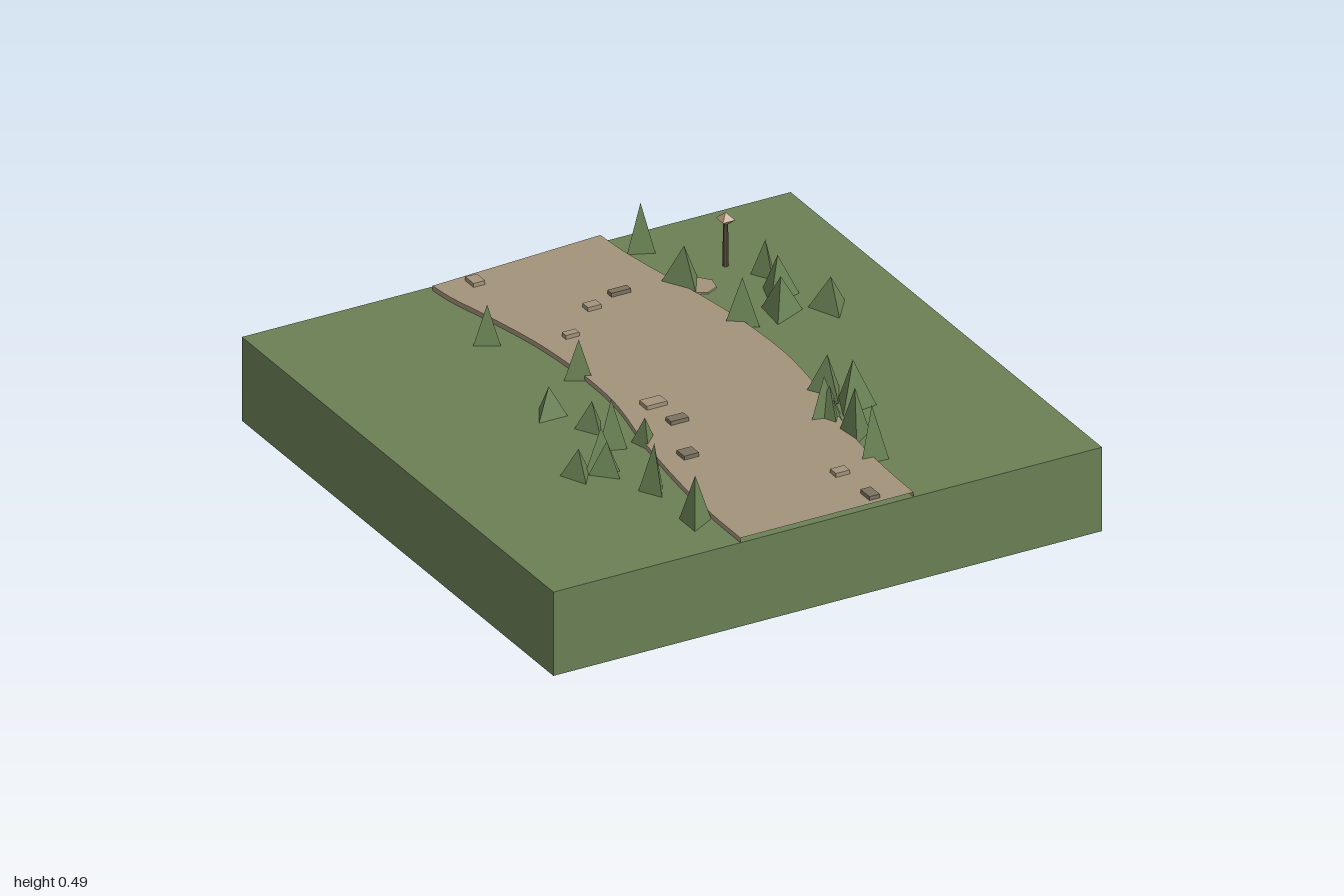
import * as THREE from 'three';

const GROUND = 0.297, ROAD_TOP = 0.314, ROAD_BOTTOM = 0.294;

const material = (name, color, extra = {}) => {
  const m = new THREE.MeshStandardMaterial({ color, flatShading: true, ...extra });
  m.name = name;
  return m;
};

// x, z, radius, top height, turn in degrees
const TREES = [
  [0.387, -0.877, 0.052, 0.465, 36], [-0.338, -0.575, 0.05, 0.43, 30],
  [0.387, -0.6, 0.08, 0.44, 0], [0.648, -0.543, 0.047, 0.42, 0],
  [0.611, -0.4, 0.07, 0.44, 72], [0.558, -0.287, 0.075, 0.43, 84],
  [0.712, -0.24, 0.072, 0.41, 113], [0.426, -0.298, 0.065, 0.455, 28],
  [-0.204, -0.229, 0.053, 0.43, 30], [-0.415, -0.048, 0.06, 0.4, 60],
  [-0.341, 0.096, 0.055, 0.395, 0], [-0.347, 0.229, 0.054, 0.465, 41],
  [-0.246, 0.266, 0.045, 0.39, 105], [-0.537, 0.356, 0.058, 0.395, 115],
  [-0.447, 0.34, 0.064, 0.44, 39], [-0.447, 0.378, 0.06, 0.41, 15],
  [-0.378, 0.558, 0.05, 0.465, 0], [-0.373, 0.809, 0.058, 0.465, 90],
  [0.415, 0.261, 0.072, 0.44, 0], [0.447, 0.367, 0.075, 0.462, 67],
  [0.325, 0.399, 0.06, 0.45, 45], [0.336, 0.415, 0.058, 0.42, 115],
  [0.352, 0.548, 0.057, 0.47, 96], [0.325, 0.702, 0.055, 0.485, 54],
];

// x, z, width, depth, weathered
const STONES = [
  [-0.188, -0.915, 0.042, 0.053, 0], [0.17, -0.63, 0.07, 0.027, 1],
  [0.047, -0.587, 0.048, 0.037, 0], [-0.106, -0.453, 0.048, 0.027, 0],
  [-0.108, 0.077, 0.074, 0.048, 0], [-0.098, 0.21, 0.064, 0.037, 1],
  [-0.183, 0.428, 0.053, 0.048, 1], [0.172, 0.77, 0.05, 0.037, 0],
  [0.18, 0.947, 0.037, 0.058, 1],
];

// Road banks as [x, z] points from back to front
const LEFT_BANK = [[-0.315, -0.962], [-0.305, -0.87], [-0.27, -0.72], [-0.222, -0.48],
  [-0.204, -0.3], [-0.2, -0.12], [-0.21, 0.03], [-0.258, 0.28], [-0.297, 0.58], [-0.313, 0.8], [-0.315, 0.995]];
const RIGHT_BANK = [[0.312, -1], [0.322, -0.87], [0.345, -0.72], [0.388, -0.48],
  [0.413, -0.3], [0.424, -0.12], [0.422, 0.03], [0.39, 0.28], [0.332, 0.58], [0.314, 0.8], [0.31, 0.995]];

const bank = (points) => new THREE.CatmullRomCurve3(
  points.map(([x, z]) => new THREE.Vector3(x, 0, z))).getPoints(30);

// Winding strip with a side skirt on each bank and open ends
function roadGeometry() {
  const left = bank(LEFT_BANK), right = bank(RIGHT_BANK);
  const position = [], index = [];
  left.forEach((l, i) => {
    const r = right[i];
    position.push(l.x, ROAD_BOTTOM, l.z, l.x, ROAD_TOP, l.z, r.x, ROAD_TOP, r.z, r.x, ROAD_BOTTOM, r.z);
    if (i === 0) return;
    for (let k = 0; k < 3; k++) {
      const a = (i - 1) * 4 + k, b = i * 4 + k;
      index.push(a, b, a + 1, a + 1, b, b + 1);
    }
  });
  const g = new THREE.BufferGeometry();
  g.setAttribute('position', new THREE.Float32BufferAttribute(position, 3));
  g.setIndex(index);
  const flat = g.toNonIndexed();
  flat.computeVertexNormals();
  return flat;
}

export function createModel() {
  const model = new THREE.Group();
  model.name = 'forestRoad';
  const grass = material('grass green', 0x6b7f55, { side: THREE.DoubleSide });
  const foliage = material('foliage green', 0x6b8355);
  const dirt = material('dirt tan', 0xa3937b, { side: THREE.DoubleSide });
  const darkStone = material('weathered stone', 0x7b715f);
  const wood = material('dark wood', 0x5c4c3e);
  const lampTan = material('lamp tan', 0xb0957c);

  const add = (name, geometry, mat, x, y, z, parent = model) => {
    const mesh = new THREE.Mesh(geometry, mat);
    mesh.name = name;
    mesh.position.set(x, y, z);
    parent.add(mesh);
    return mesh;
  };

  // Ground block, hollow and open underneath
  const block = new THREE.BoxGeometry(1.98, GROUND, 1.98);
  const faces = Array.from(block.index.array);
  faces.splice(18, 6);
  block.setIndex(faces);
  block.clearGroups();
  add('ground', block, grass, 0, GROUND / 2, 0.005);

  add('road', roadGeometry(), dirt, 0, 0, 0);

  // Flat stones lying on the road
  for (const [x, z, w, d, weathered] of STONES) {
    add('roadStone', new THREE.BoxGeometry(w, 0.014, d), weathered ? darkStone : dirt, x, ROAD_TOP + 0.007, z);
  }

  // Three-sided trees
  for (const [x, z, r, top, turn] of TREES) {
    const h = top - GROUND;
    const tree = add('tree', new THREE.ConeGeometry(r, h, 3), foliage, x, GROUND + h / 2, z);
    tree.rotation.y = THREE.MathUtils.degToRad(turn);
  }

  // Bare patch beside the road
  add('dirtPatch', new THREE.CylinderGeometry(0.055, 0.055, 0.006, 7), dirt, 0.425, GROUND + 0.003, -0.57);

  // Lamp post with a diamond head
  const lamp = new THREE.Group();
  lamp.name = 'lampPost';
  lamp.position.set(0.568, GROUND, -0.655);
  model.add(lamp);
  add('post', new THREE.CylinderGeometry(0.008, 0.01, 0.15, 6), wood, 0, 0.075, 0, lamp);
  const head = add('lampHead', new THREE.OctahedronGeometry(0.032), lampTan, 0, 0.165, 0, lamp);
  head.scale.y = 0.75;
  head.rotation.y = Math.PI / 4;

  return model;
}
